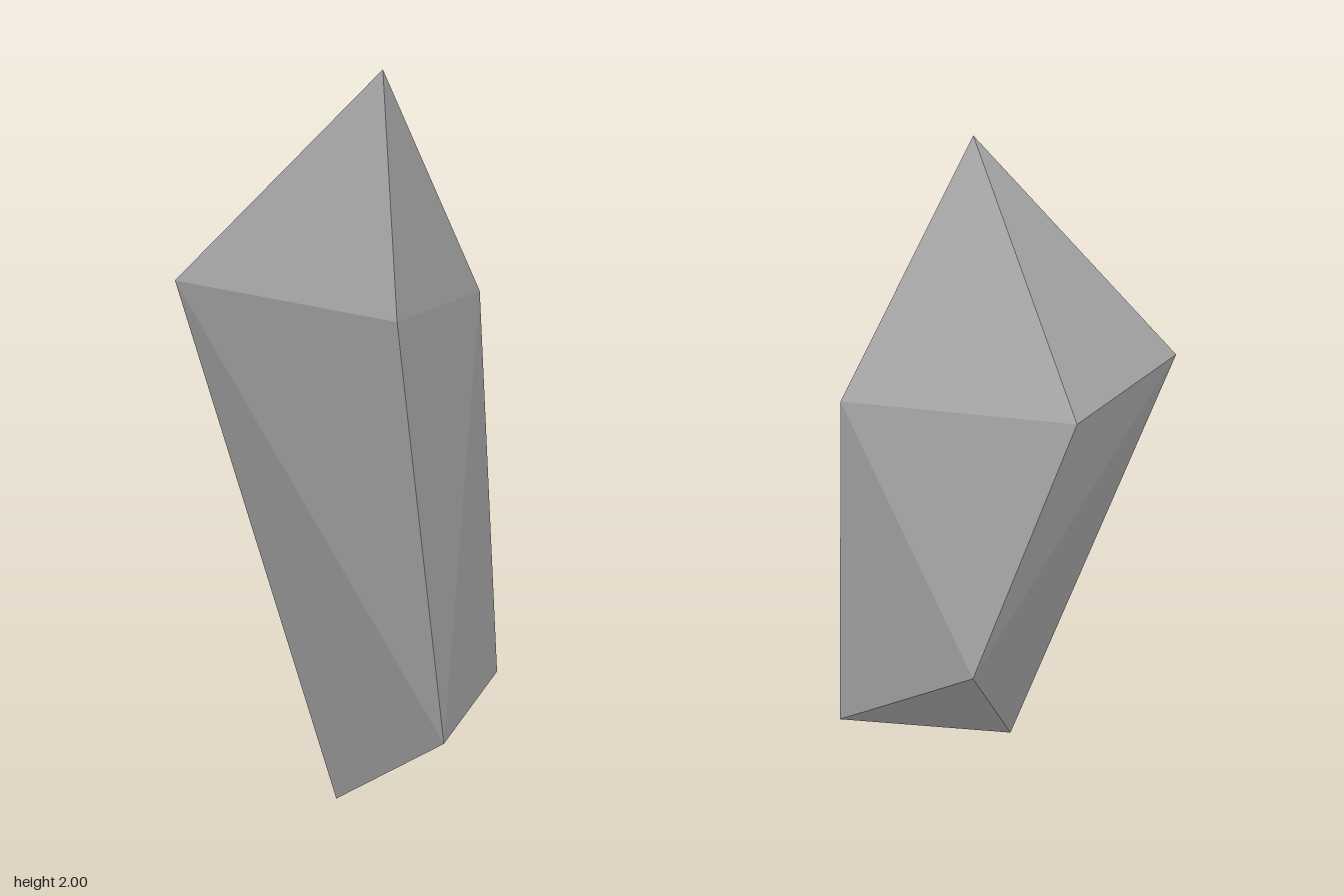
import * as THREE from 'three';

// Corners of the faceted crystal
const corners = {
  tip: [0.09, 2, 0.2],
  // shoulder ring
  left: [-0.455, 1.465, 0.12],
  front: [0.12, 1.38, 0.43],
  right: [0.38, 1.42, -0.16],
  back: [-0.238, 1.51, -0.303],
  // lower ring
  lowFront: [0.25, 0.28, 0.39],
  lowRight: [0.453, 0.28, -0.192],
  lowBack: [0, 0.755, -0.434],
  foot: [-0.03, 0, 0.09],
};

// Builds flat triangles from named corners
function facets(faces) {
  const points = faces.flatMap((face) => face.split(' ').flatMap((name) => corners[name]));
  const geometry = new THREE.BufferGeometry();
  geometry.setAttribute('position', new THREE.Float32BufferAttribute(points, 3));
  geometry.computeVertexNormals();
  return geometry;
}

export function createModel() {
  const group = new THREE.Group();
  group.name = 'crystal';
  const stone = new THREE.MeshStandardMaterial({ color: 0xa0a0a0, flatShading: true });
  stone.name = 'grey stone';

  const add = (name, faces) => {
    const mesh = new THREE.Mesh(facets(faces), stone);
    mesh.name = name;
    group.add(mesh);
  };

  // Pointed cap
  const ring = ['left', 'front', 'right', 'back'];
  add('crystalTip', ring.map((name, i) => `tip ${name} ${ring[(i + 1) % 4]}`));

  // Long side facets
  add('crystalBody', [
    'left lowFront front', 'left foot lowFront',
    'front lowFront right', 'lowFront lowRight right',
    'right lowRight lowBack', 'right lowBack back',
    'back lowBack left', 'lowBack foot left',
  ]);

  // Underside
  add('crystalBase', ['lowFront foot lowRight', 'lowRight foot lowBack']);

  return group;
}
